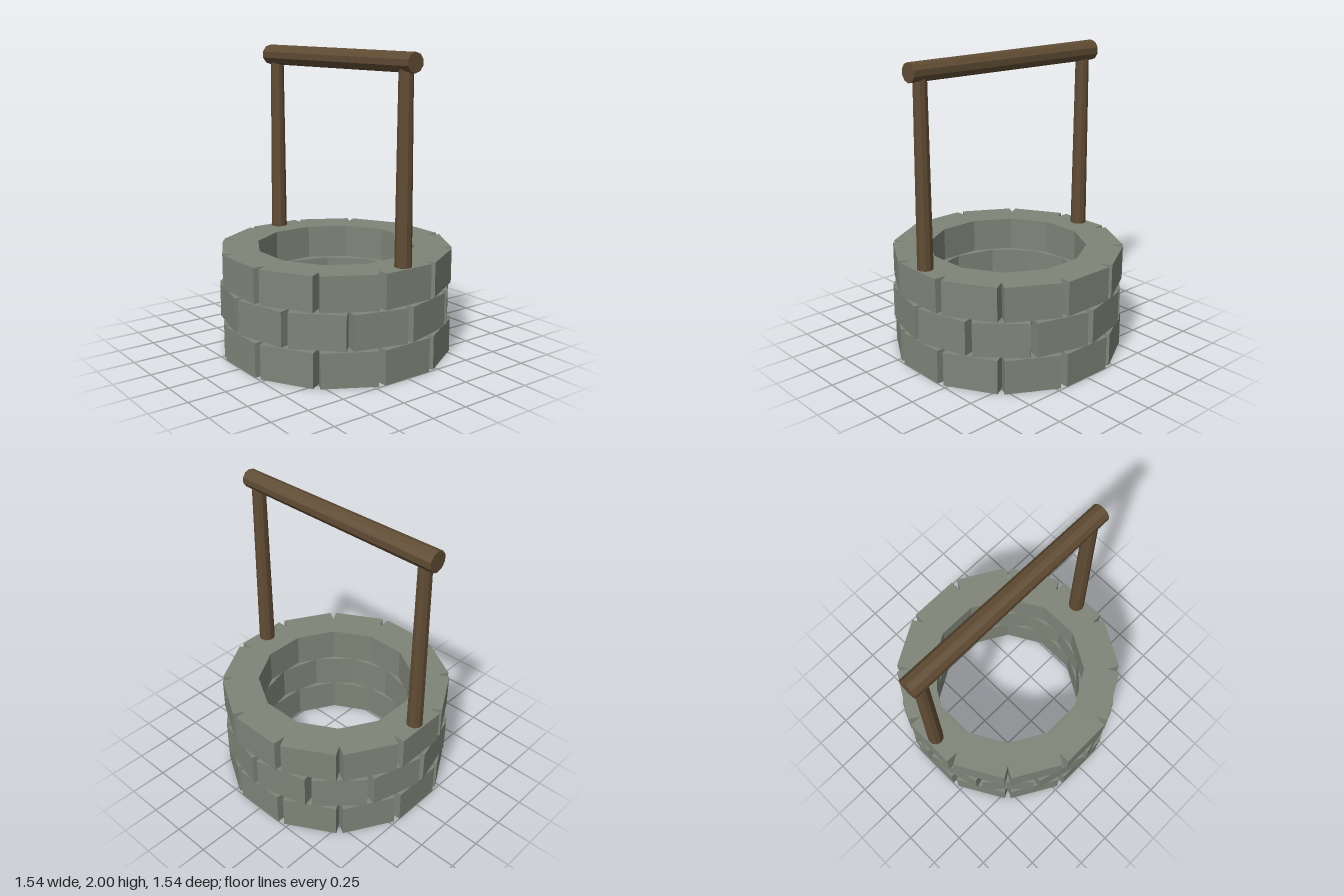
import * as THREE from 'three';

export function createModel() {
  const model = new THREE.Group();
  model.name = 'well';

  const stone = new THREE.MeshStandardMaterial({ color: 0x7f8478 });
  stone.name = 'grey stone';
  const wood = new THREE.MeshStandardMaterial({ color: 0x604c34 });
  wood.name = 'brown wood';
  stone.flatShading = wood.flatShading = true;

  // Wall: three courses of twelve blocks, the middle one shifted by half a block
  const COUNT = 12, INNER = 0.51, OUTER = 0.75, HEIGHT = 0.226, STEP = 0.239;
  const block = new THREE.BoxGeometry(0.356, HEIGHT, OUTER - INNER);
  block.translate(0, HEIGHT / 2, (INNER + OUTER) / 2);
  for (let row = 0; row < 3; row++) {
    const course = new THREE.Group();
    course.name = `stoneCourse${row + 1}`;
    course.position.y = row * STEP;
    for (let i = 0; i < COUNT; i++) {
      const mesh = new THREE.Mesh(block, stone);
      mesh.name = 'stoneBlock';
      mesh.rotation.y = ((i + (row % 2) / 2) / COUNT) * Math.PI * 2;
      course.add(mesh);
    }
    model.add(course);
  }

  // Tapered ten-sided log, standing upright
  const log = (name, rTop, rBottom, length) => {
    const geometry = new THREE.CylinderGeometry(rTop, rBottom, length, 10);
    const mesh = new THREE.Mesh(geometry, wood);
    mesh.name = name;
    model.add(mesh);
    return mesh;
  };

  // Two posts standing on the wall
  const bottom = 0.69, top = 1.9;
  for (const side of [-1, 1]) {
    const post = log(side > 0 ? 'leftPost' : 'rightPost', 0.045, 0.054, top - bottom);
    post.position.set(side * 0.688, (top + bottom) / 2, 0);
  }

  // Crossbeam, thicker at the -x end
  const beam = log('crossbeam', 0.061, 0.069, 1.54);
  beam.geometry.rotateY(Math.PI / 2);
  beam.geometry.rotateZ(-Math.PI / 2);
  beam.position.y = 1.931;

  return model;
}
